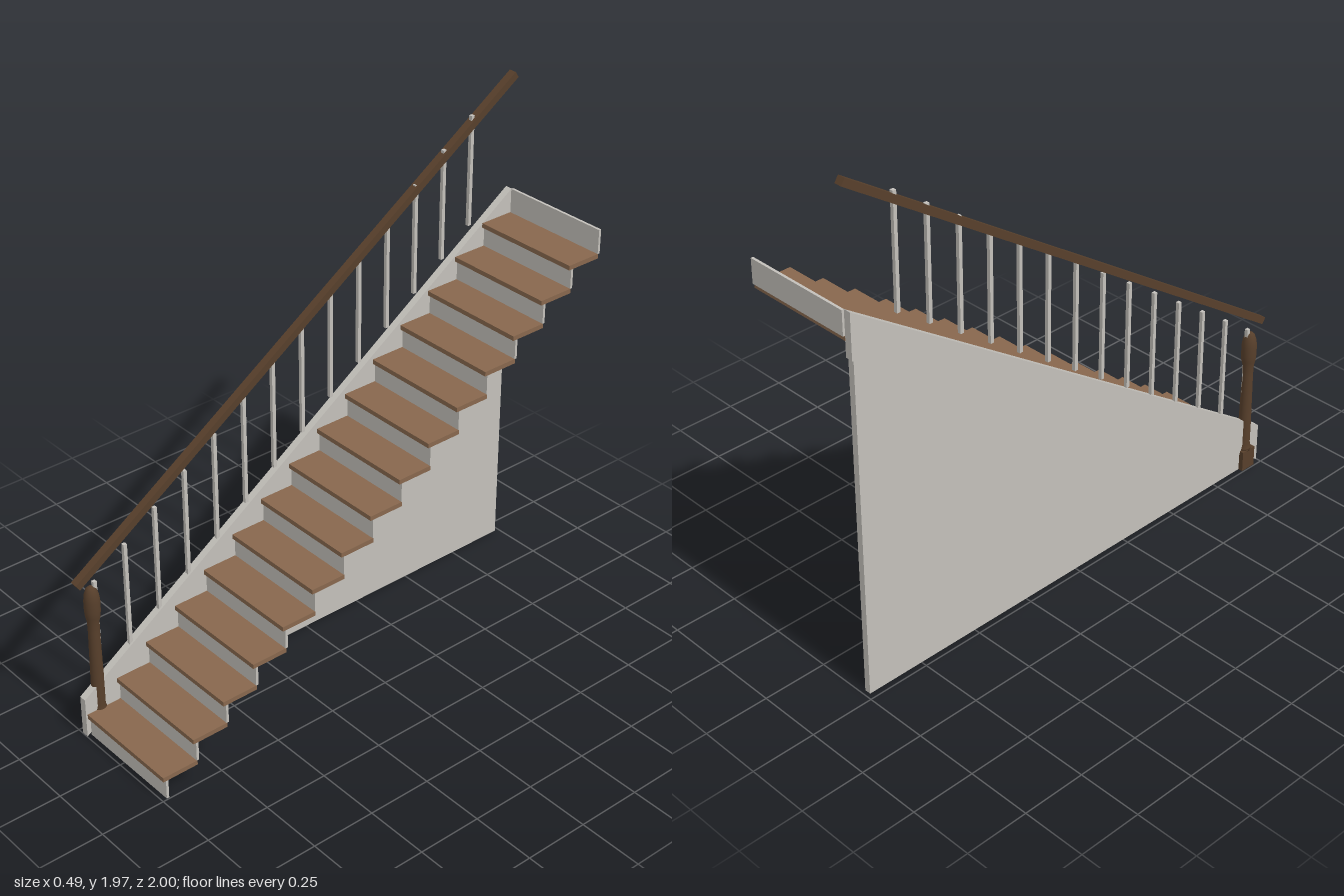
import * as THREE from 'three';

export function createModel() {
  const paint = new THREE.MeshStandardMaterial({ color: 0xc3c0ba });
  paint.name = 'off-white paint';
  const oak = new THREE.MeshStandardMaterial({ color: 0x87674d });
  oak.name = 'tread wood';
  const walnut = new THREE.MeshStandardMaterial({ color: 0x573f2b });
  walnut.name = 'dark wood';

  const model = new THREE.Group();
  model.name = 'staircase';

  const add = (name, geometry, material, x = 0, y = 0, z = 0) => {
    const mesh = new THREE.Mesh(geometry, material);
    mesh.name = name;
    mesh.position.set(x, y, z);
    model.add(mesh);
    return mesh;
  };
  const box = (name, material, w, h, d, x, y, z) =>
    add(name, new THREE.BoxGeometry(w, h, d), material, x, y, z);

  // Flat panel drawn as [z, y] points, given a thickness from x0 to x1
  const sidePanel = (name, points, x0, x1) => {
    const shape = new THREE.Shape(points.map(([z, y]) => new THREE.Vector2(-z, y)));
    const geometry = new THREE.ExtrudeGeometry(shape, { depth: x1 - x0, bevelEnabled: false });
    geometry.rotateY(Math.PI / 2);
    return add(name, geometry, paint, x0);
  };

  const steps = 15, run = 0.1313, rise = 0.0943;
  const left = -0.2, right = 0.245;
  const width = right - left, middle = (left + right) / 2;
  const treadThick = 0.018;

  // Treads, with a riser under each and one more above the last
  for (let i = 0; i <= steps; i++) {
    const bottom = i * rise;
    const height = rise - (i < steps ? treadThick : 0);
    box('riser', paint, width, height, 0.01, middle, bottom + height / 2, 0.976 - i * run);
    if (i < steps) {
      box('tread', oak, width, treadThick, 0.145, middle,
        bottom + rise - treadThick / 2, 0.919 - i * run);
    }
  }

  // Sloping side board and the wall below it
  sidePanel('stringer', [[0.998, 0], [0.998, 0.16], [-0.99, 1.51], [-0.99, 1.335]], -0.228, -0.199);
  sidePanel('underStairWall', [[0.96, 0], [0.96, 0.025], [-0.983, 1.33], [-0.983, 0]], -0.226, -0.201);

  // Balusters climb with the steps
  const railX = -0.2135;
  for (let i = 0; i < 14; i++) {
    box('baluster', paint, 0.014, 0.43, 0.014, railX, 0.41 + i * rise, 0.917 - i * run);
  }

  // Handrail between its two end points
  const low = new THREE.Vector3(railX, 0.636, 0.992);
  const high = new THREE.Vector3(railX, 1.955, -0.992);
  const centre = low.clone().add(high).multiplyScalar(0.5);
  const rail = box('handrail', walnut, 0.03, 0.028, low.distanceTo(high), centre.x, centre.y, centre.z);
  rail.rotation.x = Math.atan2(high.y - low.y, low.z - high.z);

  // Newel post: square foot, turned shaft and rounded head
  box('newelFoot', walnut, 0.058, 0.085, 0.066, -0.216, 0.0425, 0.93);
  const profile = [
    [0, 0.08], [0.03, 0.08], [0.028, 0.092], [0.024, 0.11], [0.024, 0.2], [0.021, 0.42],
    [0.022, 0.465], [0.027, 0.485], [0.029, 0.51], [0.029, 0.55], [0.026, 0.575],
    [0.019, 0.597], [0.01, 0.606], [0, 0.608],
  ].map(([r, y]) => new THREE.Vector2(r, y));
  add('newelPost', new THREE.LatheGeometry(profile, 24), walnut, -0.216, 0, 0.93);

  return model;
}
